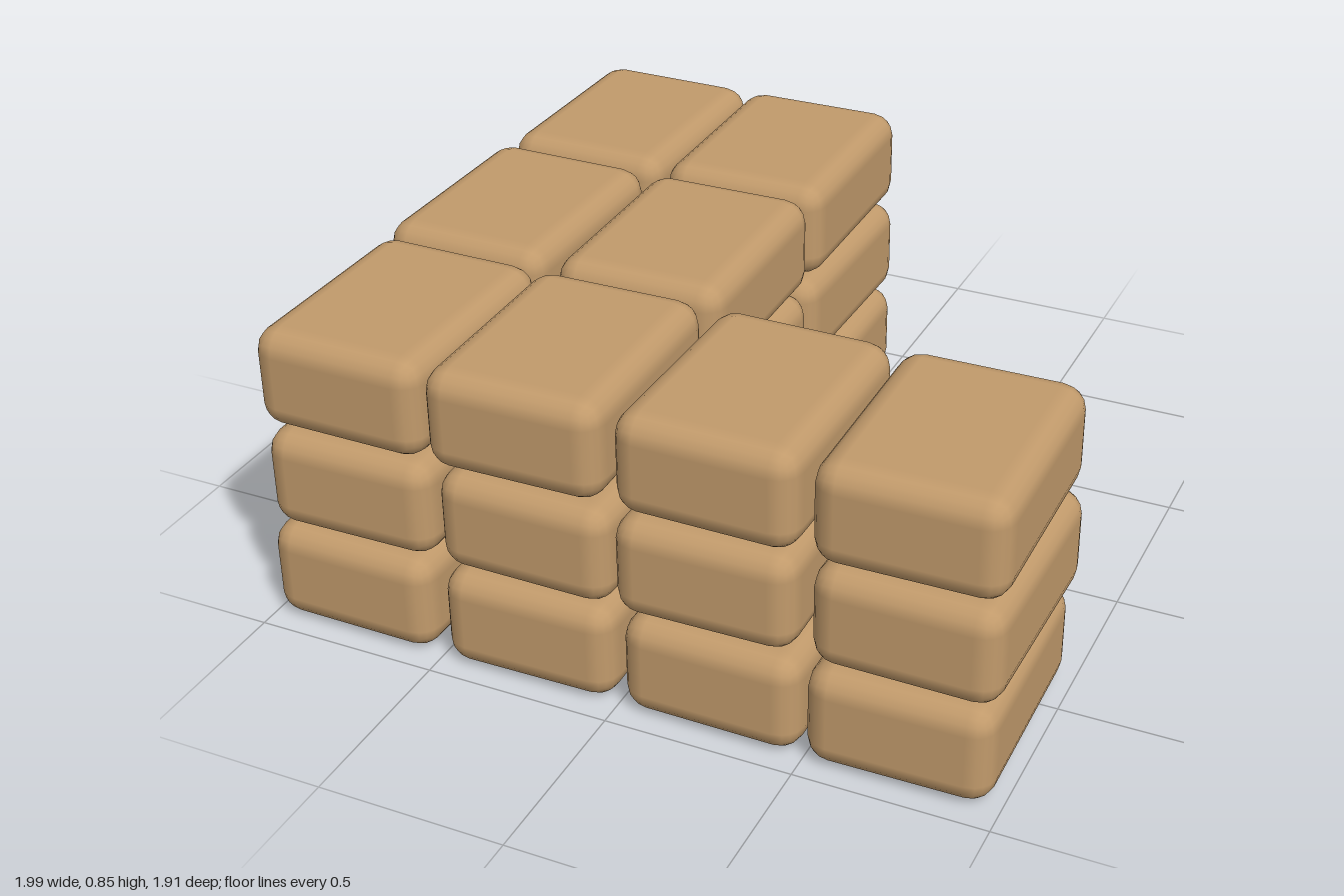
import * as THREE from 'three';
import { RoundedBoxGeometry } from 'three/addons/geometries/RoundedBoxGeometry.js';

export function createModel() {
  const model = new THREE.Group();
  model.name = 'sandbagWall';
  const burlap = new THREE.MeshStandardMaterial({ color: 0xc19a6b });
  burlap.name = 'burlap';

  // One soft-edged bag shared by the whole L-shaped stack
  const bag = new RoundedBoxGeometry(0.475, 0.273, 0.625, 2, 0.065);
  const rowZ = { front: 0.642, middle: 0, back: -0.642 };

  // Slightly uneven bag centres along x, per layer and row
  const layers = [
    { y: 0.1365, front: [-0.755, -0.25, 0.255, 0.735], middle: [-0.752, -0.255], back: [-0.755, -0.252] },
    { y: 0.4235, front: [-0.742, -0.242, 0.235, 0.752], middle: [-0.752, -0.258], back: [-0.757, -0.255] },
    { y: 0.7095, front: [-0.742, -0.265, 0.247, 0.747], middle: [-0.755, -0.252], back: [-0.735, -0.252] },
  ];

  layers.forEach((layer, level) => {
    for (const row of Object.keys(rowZ)) {
      layer[row].forEach((x, i) => {
        const mesh = new THREE.Mesh(bag, burlap);
        mesh.name = `${row}Bag_layer${level + 1}_${i + 1}`;
        mesh.position.set(x, layer.y, rowZ[row]);
        // Alternating slight yaw for a hand-stacked look
        mesh.rotation.y = ((i + level) % 2 ? 1 : -1) * 0.012;
        model.add(mesh);
      });
    }
  });
  return model;
}
